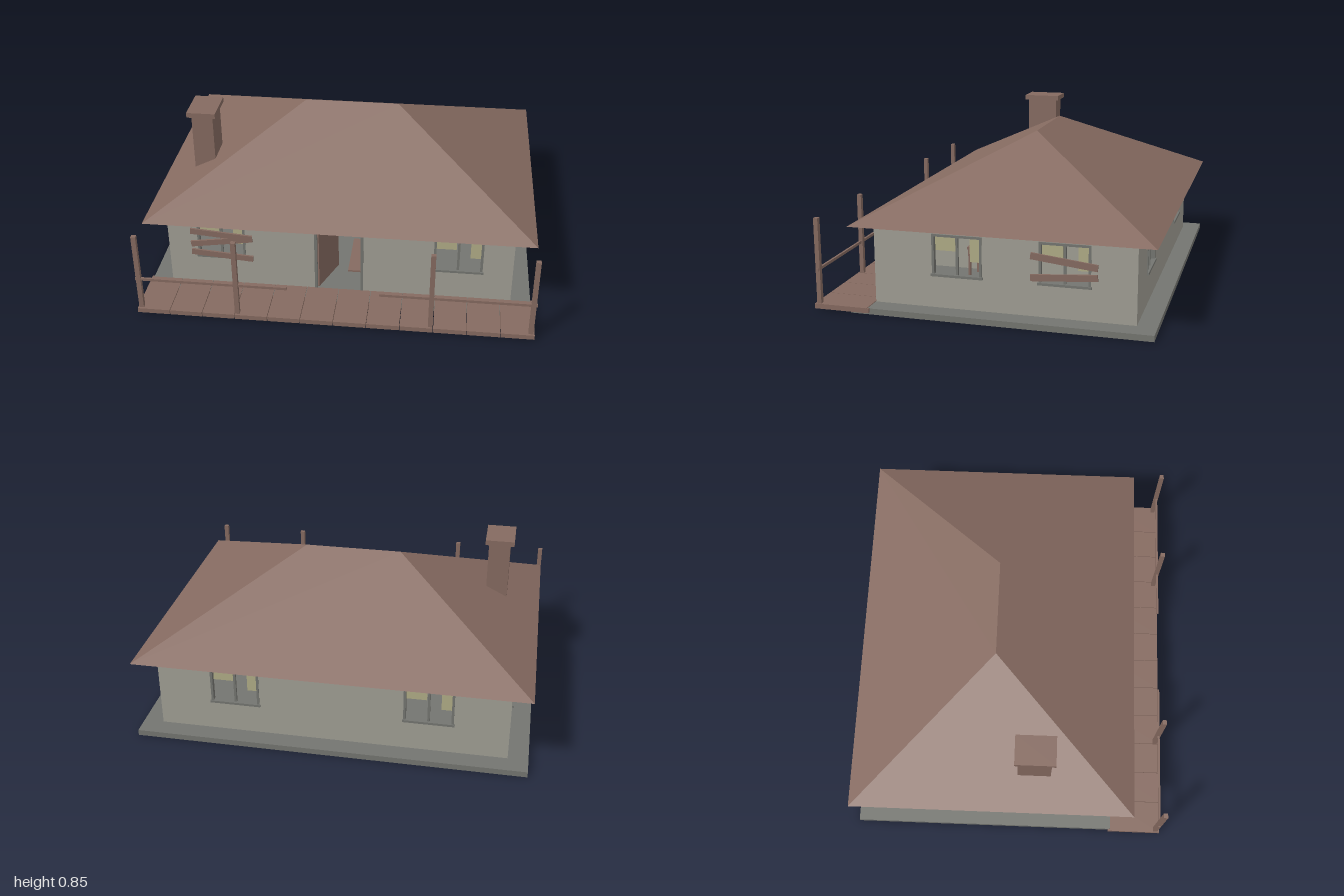
import * as THREE from 'three';

const mat = (name, color) => {
  const m = new THREE.MeshStandardMaterial({ color });
  m.name = name;
  return m;
};

export function createModel() {
  const brown = mat('weathered brown', 0x856a60);
  const plaster = mat('grey plaster', 0xa09e94);
  const trim = mat('grey trim', 0x747570);
  const cloth = mat('faded curtain', 0xb0ac86);
  const house = new THREE.Group();
  house.name = 'house';

  // Box given by its min and max corners
  const box = (parent, name, m, x0, x1, y0, y1, z0, z1) => {
    const mesh = new THREE.Mesh(new THREE.BoxGeometry(x1 - x0, y1 - y0, z1 - z0), m);
    mesh.position.set((x0 + x1) / 2, (y0 + y1) / 2, (z0 + z1) / 2);
    mesh.name = name;
    parent.add(mesh);
    return mesh;
  };

  const FLOOR = 0.03, EAVE = 0.43, T = 0.02;
  const WIN = { w: 0.125, y0: 0.19, y1: 0.397 };

  // Window frame, mullion, sill and torn curtains; the wall faces local +z
  const addWindow = (parent, cx, z) => {
    const g = new THREE.Group();
    g.name = 'window';
    g.position.set(cx, 0, z);
    parent.add(g);
    const { w, y0, y1 } = WIN, b = 0.012;
    for (const s of [-1, 1]) {
      const x = s * (w - b / 2);
      box(g, 'windowJamb', trim, x - b / 2, x + b / 2, y0, y1, -T, 0.004);
    }
    box(g, 'windowHead', trim, -w + b, w - b, y1 - b, y1, -T, 0.004);
    box(g, 'windowSill', trim, -w - 0.005, w + 0.005, y0 - 0.002, y0 + 0.01, -T, 0.01);
    box(g, 'windowMullion', trim, -0.006, 0.006, y0 + 0.01, y1 - b, -0.014, -0.002);
    box(g, 'shortCurtain', cloth, -w + b, -0.012, 0.312, y1 - b, -0.022, -0.018);
    box(g, 'longCurtain', cloth, 0.06, w - b, 0.265, y1 - b, -0.022, -0.018);
  };

  // Nailed board running between two points on the wall face
  const addBoard = (parent, xa, ya, xb, yb, z) => {
    const len = Math.hypot(xb - xa, yb - ya);
    const m = box(parent, 'nailedBoard', brown, -len / 2, len / 2, -0.016, 0.016, -0.005, 0.005);
    m.position.set((xa + xb) / 2, (ya + yb) / 2, z + 0.016);
    m.rotation.z = Math.atan2(yb - ya, xb - xa);
  };

  // Wall with window holes and an optional doorway
  const addWall = (name, angle, dist, x0, x1, windows, door) => {
    const g = new THREE.Group();
    g.name = name;
    g.rotation.y = angle;
    house.add(g);
    const pts = [[x0, FLOOR]];
    if (door) pts.push([-door, FLOOR], [-door, EAVE - 0.005], [door, EAVE - 0.005], [door, FLOOR]);
    pts.push([x1, FLOOR], [x1, EAVE], [x0, EAVE]);
    const shape = new THREE.Shape(pts.map(p => new THREE.Vector2(...p)));
    for (const c of windows) {
      const { w, y0, y1 } = WIN;
      shape.holes.push(new THREE.Path([[c - w, y0], [c - w, y1], [c + w, y1], [c + w, y0]]
        .map(p => new THREE.Vector2(...p))));
      addWindow(g, c, dist);
    }
    const wall = new THREE.Mesh(
      new THREE.ExtrudeGeometry(shape, { depth: T, bevelEnabled: false }), plaster);
    wall.position.z = dist - T;
    wall.name = name + 'Panel';
    g.add(wall);
    return g;
  };

  const front = addWall('frontWall', 0, 0.558, -0.888, 0.888, [-0.61, 0.61], 0.125);
  addWall('backWall', Math.PI, 0.732, -0.888, 0.888, [-0.49, 0.49]);
  const left = addWall('leftWall', Math.PI / 2, 0.888, -0.538, 0.712, [-0.137, 0.39]);
  addWall('rightWall', -Math.PI / 2, 0.888, -0.712, 0.538, [-0.39]);

  // Boards over two of the windows
  addBoard(front, -0.765, 0.352, -0.445, 0.325, 0.558);
  addBoard(front, -0.765, 0.273, -0.445, 0.322, 0.558);
  addBoard(front, -0.765, 0.226, -0.445, 0.2, 0.558);
  addBoard(left, 0.23, 0.332, 0.55, 0.295, 0.888);
  addBoard(left, 0.23, 0.225, 0.55, 0.248, 0.888);

  // Door frame and the door standing open
  for (const s of [-1, 1])
    box(front, 'doorJamb', trim, s * 0.119 - 0.007, s * 0.119 + 0.007, FLOOR, EAVE, 0.536, 0.563);
  box(front, 'doorHead', trim, -0.112, 0.112, 0.42, EAVE, 0.536, 0.563);
  const hinge = new THREE.Group();
  hinge.name = 'openDoor';
  hinge.position.set(-0.11, 0, 0.545);
  hinge.rotation.y = 1.2;
  house.add(hinge);
  box(hinge, 'doorLeaf', brown, 0, 0.215, 0.032, 0.412, -0.006, 0.006);

  // Inner walls, table and a fallen plank
  for (const s of [-1, 1])
    box(house, 'innerWall', plaster, s * 0.25 - 0.01, s * 0.25 + 0.01, FLOOR, EAVE, -0.712, 0.538);
  box(house, 'tableTop', brown, 0.3, 0.46, 0.198, 0.21, 0.06, 0.23);
  for (const x of [0.31, 0.45]) for (const z of [0.07, 0.22])
    box(house, 'tableLeg', brown, x - 0.006, x + 0.006, FLOOR, 0.198, z - 0.006, z + 0.006);
  box(house, 'fallenPlank', brown, 0.03, 0.11, FLOOR, 0.04, 0.1, 0.4);

  // Foundation slab
  box(house, 'foundation', trim, -0.99, 0.99, 0, FLOOR, -0.828, 0.648);

  // Porch deck of planks, with posts and rails
  const planks = 12, pw = 2 / planks;
  for (let i = 0; i < planks; i++) {
    const x = -1 + i * pw;
    box(house, 'deckPlank', brown, x + (i ? 0.0015 : 0), x + pw - (i < planks - 1 ? 0.0015 : 0),
      0.008, 0.033, 0.56, 0.832);
  }
  for (const s of [-1, 1]) {
    box(house, 'deckEnd', brown, s * 0.995 - 0.005, s * 0.995 + 0.005, 0.009, 0.032, 0.55, 0.56);
    for (const x of [0.487, 0.982])
      box(house, 'porchPost', brown, s * x - 0.012, s * x + 0.012, 0.033, 0.462, 0.8, 0.822);
    box(house, 'porchRail', brown, s * 0.615 - 0.385, s * 0.615 + 0.385, 0.198, 0.212, 0.806, 0.817);
  }

  // Hipped roof with a flat underside
  const [a, b, c, d, e, f] = [
    [-0.99, EAVE, 0.652], [0.99, EAVE, 0.652], [0.99, EAVE, -0.832], [-0.99, EAVE, -0.832],
    [-0.25, 0.802, -0.09], [0.25, 0.802, -0.09]];
  const tris = [a, b, f, a, f, e, b, c, f, c, d, e, c, e, f, d, a, e, a, d, c, a, c, b];
  const roofGeo = new THREE.BufferGeometry();
  roofGeo.setAttribute('position', new THREE.Float32BufferAttribute(tris.flat(), 3));
  roofGeo.computeVertexNormals();
  const roof = new THREE.Mesh(roofGeo, brown);
  roof.name = 'roof';
  house.add(roof);

  // Chimney and its cap
  box(house, 'chimney', brown, -0.812, -0.7, 0.45, 0.825, 0.042, 0.212);
  box(house, 'chimneyCap', brown, -0.833, -0.682, 0.823, 0.85, 0.025, 0.23);

  return house;
}
